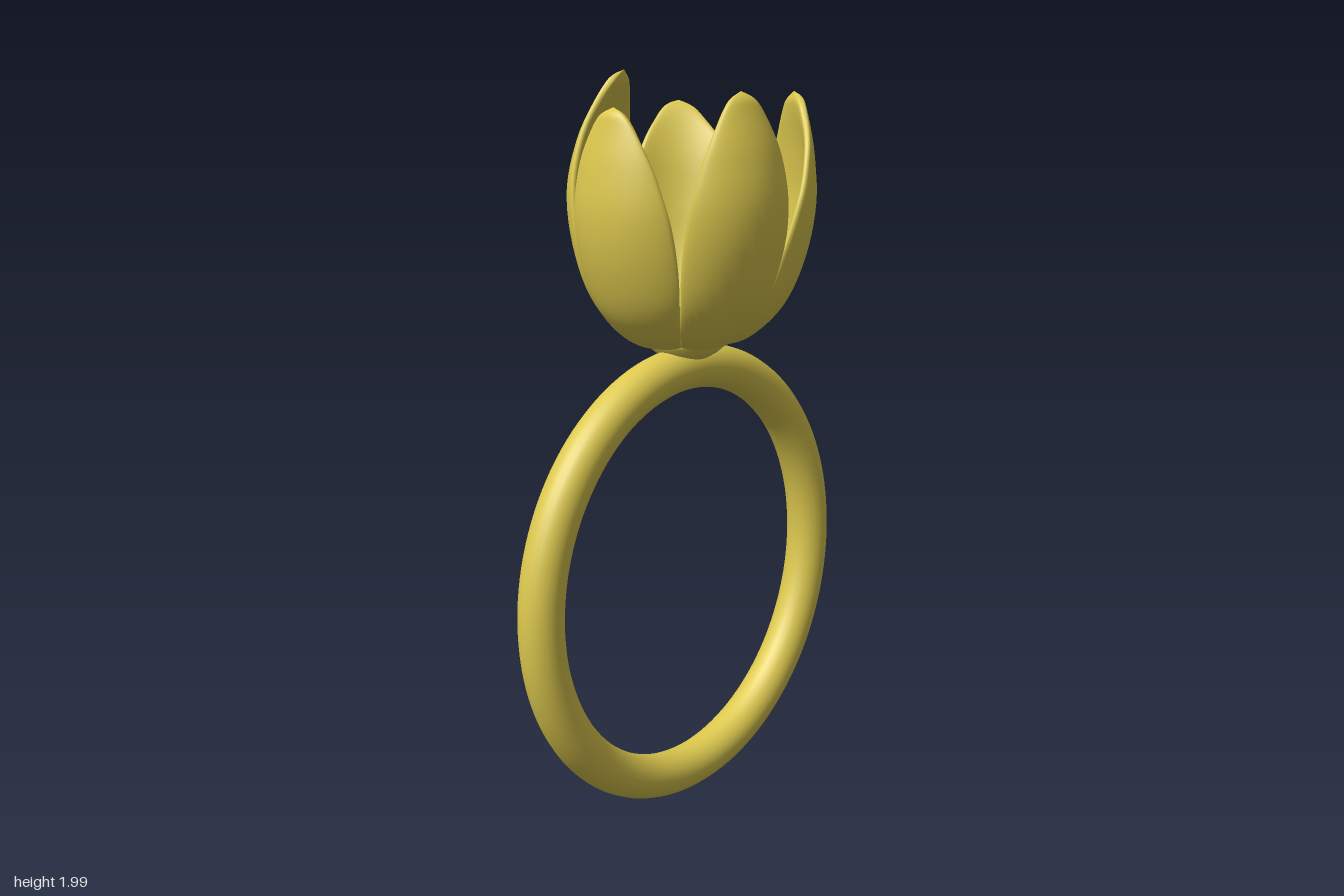
import * as THREE from 'three';

const gold = new THREE.MeshStandardMaterial({ color: 0xdcc84e });

// Closed shell petal: a lens-shaped cross-section swept up a cupped profile.
function petalGeometry({ bulge = 1, tipOut = 0, height = 1.94, width = 1, lean = 0 }) {
  const base = 1.265;
  const profile = [
    [0.07, 1.268, 0.06], [0.15, 1.29, 0.12], [0.235, 1.375, 0.165], [0.29, 1.51, 0.19],
    [0.31, 1.65, 0.182], [0.295, 1.78, 0.138], [0.268, 1.88, 0.076], [0.256, 1.922, 0.038], [0.25, 1.94, 0.001],
  ];
  const curve = new THREE.CatmullRomCurve3(profile.map(([r, y, w]) => {
    const k = Math.max(0, (y - 1.5) / 0.44);
    return new THREE.Vector3(r * bulge + tipOut * k ** 2.5,
      base + (y - base) * (height - base) / (1.94 - base), w * width);
  }));
  const rows = 40, sides = 36, curl = 0.225, thickness = 0.014;
  const pos = [], index = [];
  for (let i = 0; i <= rows; i++) {
    const t = i / rows;
    const p = curve.getPoint(t), d = curve.getTangent(t);
    const len = Math.hypot(d.x, d.y) || 1;
    const nr = d.y / len, ny = -d.x / len; // outward normal in the (radius, height) plane
    const th = thickness * Math.min(1, p.z / 0.05);
    const shift = lean * (1.65 - p.y);
    for (let j = 0; j < sides; j++) {
      const a = (j / sides) * Math.PI * 2;
      const phi = (Math.cos(a) * p.z + shift) / curl;
      const s = Math.sin(a);
      const off = Math.sign(s) * Math.sqrt(Math.abs(s)) * th - thickness;
      const depth = -curl * (1 - Math.cos(phi)) + off * Math.cos(phi);
      pos.push(p.x + nr * depth, p.y + ny * depth, (curl + off) * Math.sin(phi));
    }
  }
  for (let i = 0; i < rows; i++) {
    for (let j = 0; j < sides; j++) {
      const a = i * sides + j, b = i * sides + (j + 1) % sides;
      index.push(a, b, a + sides, b, b + sides, a + sides);
    }
  }
  // close the root and the tip
  for (let j = 1; j < sides - 1; j++) {
    const top = rows * sides;
    index.push(0, j + 1, j, top, top + j, top + j + 1);
  }
  const g = new THREE.BufferGeometry();
  g.setAttribute('position', new THREE.Float32BufferAttribute(pos, 3));
  g.setIndex(index);
  g.computeVertexNormals();
  return g;
}

export function createModel() {
  const group = new THREE.Group();
  const add = (name, geometry, parent = group) => {
    const mesh = new THREE.Mesh(geometry, gold);
    mesh.name = name;
    parent.add(mesh);
    return mesh;
  };

  // Slightly oval, slightly tilted finger band
  const loop = [];
  for (let i = 0; i < 24; i++) {
    const a = (i / 24) * Math.PI * 2, c = Math.cos(a), s = Math.sin(a);
    loop.push(new THREE.Vector3(-0.003 + 0.533 * c + 0.016 * s, 0.639 + 0.573 * s + 0.012 * c,
      0.017 - 0.012 * s + 0.004 * c));
  }
  // reversed so the tube's parameter runs clockwise from the side
  add('band', new THREE.TubeGeometry(new THREE.CatmullRomCurve3(loop, true), 128, 0.06, 24, true));

  // Small open collar joining the flower to the band
  const collar = add('flowerBase', new THREE.LatheGeometry([
    [0.05, 1.235], [0.085, 1.255], [0.108, 1.275], [0.1, 1.283], [0.075, 1.272], [0.05, 1.25], [0.05, 1.235],
  ].map(([x, y]) => new THREE.Vector2(x, y)), 32));
  collar.position.x = 0.015;

  // Stud in the middle of the flower
  const stud = add('centreStud', new THREE.CylinderGeometry(0.038, 0.038, 0.06, 24));
  stud.position.set(0.02, 1.257, -0.008);

  // Five petals; angle is measured from +x towards +z
  const flower = new THREE.Group();
  flower.name = 'flower';
  group.add(flower);
  const petals = [
    { name: 'frontPetal', angle: 101, bulge: 1.03 },
    { name: 'frontLeftPetal', angle: 36, bulge: 1.14, tipOut: 0.04, width: 1.05, lean: 0.14 },
    { name: 'backLeftPetal', angle: -40, bulge: 1.1, tipOut: 0.17, height: 1.905, width: 1.05, lean: 0.14 },
    { name: 'backPetal', angle: -104, bulge: 1.05, tipOut: -0.075, height: 2, width: 1.06 },
    { name: 'rightPetal', angle: 178, bulge: 1.01, tipOut: 0.02, height: 1.9, width: 1.04 },
  ];
  for (const p of petals) {
    add(p.name, petalGeometry(p), flower).rotation.y = -THREE.MathUtils.degToRad(p.angle);
  }
  return group;
}
